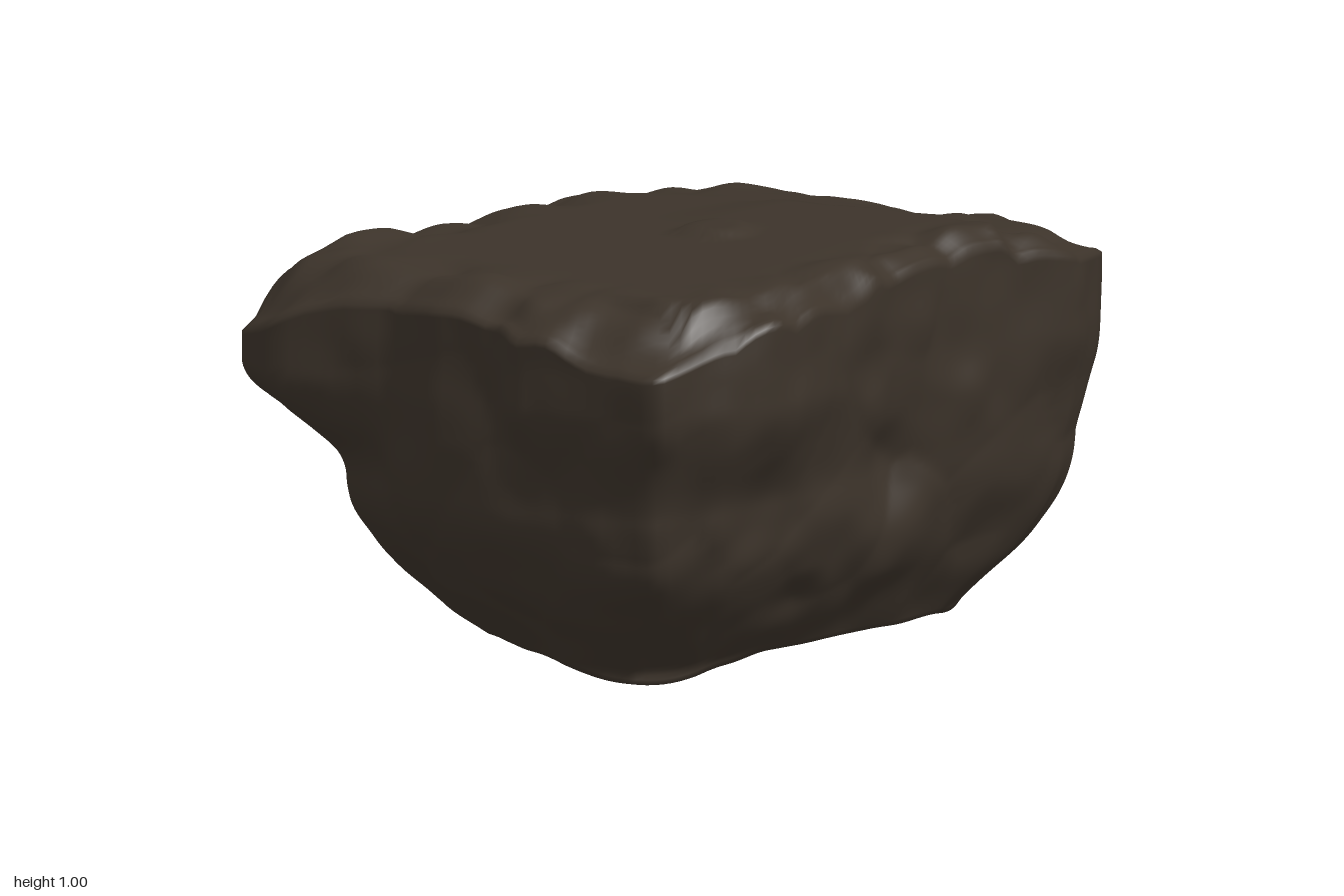
import * as THREE from 'three';

const COLS = 240, BOTTOM = 14, SIDE = 68, TOP = 50;

// Plan outlines as x, z pairs: rim, belly and foot of the boulder
const RIM = [0.995, 0, 0.985, -0.12, 0.93, -0.2, 0.85, -0.36, 0.73, -0.51, 0.55, -0.63, 0.38, -0.69, 0.2, -0.72,
  0, -0.69, -0.2, -0.72, -0.5, -0.65, -0.75, -0.68, -0.95, -0.65, -1, -0.52, -0.96, -0.38, -0.91, -0.22,
  -0.95, -0.05, -0.94, 0.13, -1, 0.23, -0.98, 0.45, -0.95, 0.64, -0.75, 0.7, -0.6, 0.72, -0.25, 0.65,
  0, 0.59, 0.4, 0.57, 0.65, 0.6, 0.88, 0.5, 0.91, 0.27, 0.98, 0.18];
const BELLY = [0.9, 0.05, 0.89, -0.22, 0.77, -0.47, 0.55, -0.62, 0.2, -0.7, -0.2, -0.69, -0.5, -0.61, -0.83, -0.43,
  -0.93, -0.15, -0.94, 0.15, -0.93, 0.42, -0.88, 0.56, -0.7, 0.62, -0.35, 0.61, 0, 0.57, 0.4, 0.56, 0.7, 0.56,
  0.85, 0.47, 0.89, 0.33];
const FOOT = [0.66, 0.1, 0.66, -0.2, 0.5, -0.42, 0.2, -0.52, -0.15, -0.48, -0.42, -0.36, -0.6, -0.1, -0.7, 0.15,
  -0.68, 0.34, -0.52, 0.4, 0, 0.4, 0.4, 0.39, 0.56, 0.32];

// Bulges and dents of the wall: x, y, z, radius, amount
const FEATURES = [
  [-0.55, 0.44, 0.61, 0.2, -0.025], [0, 0.44, 0.57, 0.2, -0.02], [0.45, 0.25, 0.5, 0.18, -0.02],
  [-0.3, 0.18, 0.48, 0.14, -0.025], [-0.55, 0.27, 0.52, 0.2, 0.025], [0.05, 0.28, 0.52, 0.2, 0.02],
  [0.62, 0.7, 0.58, 0.25, 0.015], [-0.15, 0.75, 0.6, 0.15, -0.02], [0.25, 0.72, 0.58, 0.15, -0.02],
  [0.7, 0.2, 0.05, 0.2, 0.02], [0.3, 0.4, -0.66, 0.25, 0.02], [-0.25, 0.4, -0.64, 0.2, 0.015],
];

const { lerp, smoothstep } = THREE.MathUtils;

// Distance from the middle to an outline in direction a
function reach(outline, a) {
  const dx = Math.cos(a), dz = Math.sin(a), n = outline.length;
  let best = 0;
  for (let i = 0; i < n; i += 2) {
    const px = outline[i], pz = outline[i + 1];
    const ex = outline[(i + 2) % n] - px, ez = outline[(i + 3) % n] - pz;
    const det = dx * ez - dz * ex;
    if (Math.abs(det) < 1e-9) continue;
    const r = (px * ez - pz * ex) / det, s = (px * dz - pz * dx) / det;
    if (s >= -1e-6 && s <= 1 + 1e-6 && r > best) best = r;
  }
  return best;
}

// Seeded hash and smooth value noise in -1..1
function hash(x, y, z, k) {
  const s = Math.sin(x * 127.1 + y * 311.7 + z * 74.7 + k * 53.3) * 43758.5453;
  return s - Math.floor(s);
}
function noise(x, y, z) {
  const i = Math.floor(x), j = Math.floor(y), k = Math.floor(z);
  const u = smoothstep(x - i, 0, 1), v = smoothstep(y - j, 0, 1), w = smoothstep(z - k, 0, 1);
  const edge = (b, c) => lerp(hash(i, j + b, k + c, 0), hash(i + 1, j + b, k + c, 0), u);
  return 2 * lerp(lerp(edge(0, 0), edge(1, 0), v), lerp(edge(0, 1), edge(1, 1), v), w) - 1;
}

// Rounded lumps that meet in creases, from the nearest seeded point
function lumps(x, y, z) {
  const i = Math.floor(x), j = Math.floor(y), k = Math.floor(z);
  let d = 9;
  for (let a = i - 1; a <= i + 1; a++)
    for (let b = j - 1; b <= j + 1; b++)
      for (let c = k - 1; c <= k + 1; c++) {
        const ux = a + hash(a, b, c, 1) - x, uy = b + hash(a, b, c, 2) - y, uz = c + hash(a, b, c, 3) - z;
        d = Math.min(d, ux * ux + uy * uy + uz * uz);
      }
  return 0.27 - d;
}

// 1 near a point in plan, fading to 0 between two radii
const near = (x, z, cx, cz, r0, r1) => 1 - smoothstep(Math.hypot(x - cx, z - cz), r0, r1);

// Height of the top: a flat floor with broken ledges and sunken corners
function topHeight(x, z, f) {
  const wob = 0.03 * noise(x * 5, 3, z * 5);
  const rough = smoothstep(f, 0.6, 0.85);
  let y = 0.97;
  // raised slab that ends in a step towards the left end
  const step = smoothstep(x + wob - 0.2 * (z - 0.1) * (0.4 - z), 0.44, 0.47);
  y += 0.014 * smoothstep(x, 0, 0.2) * smoothstep(z, -0.25, -0.05) * (1 - step);
  y -= 0.014 * lerp(smoothstep(x, 0.2, 0.6), step, smoothstep(z, -0.25, -0.05));
  y -= 0.055 * smoothstep(x, 0.5, 0.95);
  // worn back edge
  y -= 0.04 * smoothstep(-z, 0.45, 0.7) * smoothstep(x, -0.5, -0.3);
  // right end and its two corners
  y -= 0.03 * smoothstep(-x, 0.76, 0.95);
  y -= 0.1 * near(x, z, -1, -0.68, 0.08, 0.36) + 0.06 * near(x, z, -1, 0.68, 0.08, 0.36);
  // ledge along the front right edge
  y -= 0.025 * smoothstep(Math.max(-x - 0.78, z - 0.6) + wob, 0, 0.04) * smoothstep(z, 0.3, 0.4);
  // low mound in the middle
  y += 0.02 * near(x + wob, z, 0.02, 0.02, 0.06, 0.11);
  y += rough * (0.05 * lumps(x * 4.5, 7.3, z * 4.5) + 0.012 * noise(x * 10, 1, z * 10));
  return y - 0.035 * smoothstep(f, 0.88, 1);
}

// Underside: flat, rising to the left, with a knob hanging down near the front right corner
function baseHeight(x, z) {
  const flat = 0.06 + 0.03 * smoothstep(x, 0.4, 0.66) * (1 - smoothstep(z, 0.15, 0.35)) - 0.02 * smoothstep(z, 0.2, 0.38);
  return lerp(flat + 0.012 * noise(x * 8, 5, z * 6), 0, near(x, z, -0.57, 0.28, 0.03, 0.26));
}

// Radius of the side wall at height y
function wallRadius(foot, belly, rim, y) {
  const low = Math.sin(Math.min(1, Math.max(0, (y - 0.04) / 0.41)) * Math.PI / 2);
  return lerp(lerp(foot, belly, low), rim, smoothstep(y, 0.45, 0.72));
}

// Displaced wall point in direction d; t runs from the foot to the rim
function wallPoint(d, t) {
  const y0 = baseHeight(d.c * d.foot, d.s * d.foot), y1 = topHeight(d.c * d.rim, d.s * d.rim, 1) - 0.01;
  const y = lerp(y0, y1, t);
  const base = wallRadius(d.foot, d.belly, d.rim, y), x = d.c * base, z = d.s * base;
  const fade = smoothstep(t, 0, 0.2) * (1 - 0.6 * smoothstep(t, 0.7, 0.95));
  let bumps = 0.05 * lumps(x * 2.8 + 4, y * 2.4, z * 2.8) + 0.012 * noise(x * 4, y * 4, z * 4);
  for (const [fx, fy, fz, size, amount] of FEATURES)
    bumps += amount * (1 - smoothstep(Math.hypot(x - fx, 1.3 * (y - fy), z - fz), 0, size));
  return { r: base + fade * bumps + 0.008 * noise(x * 10, y * 10, z * 10), y };
}

// Closed loops of points from the middle of the underside, up the wall, to the middle of the top
function boulderGeometry() {
  const rows = BOTTOM + SIDE + TOP, pos = [], index = [];
  const dirs = Array.from({ length: COLS }, (_, j) => {
    const a = j / COLS * Math.PI * 2;
    const d = { c: Math.cos(a), s: Math.sin(a), foot: reach(FOOT, a), belly: reach(BELLY, a), rim: reach(RIM, a) };
    return { ...d, footR: wallPoint(d, 0).r, rimR: wallPoint(d, 1).r };
  });
  for (let i = 0; i <= rows; i++)
    for (const d of dirs) {
      let r, y;
      if (i < BOTTOM) {
        r = d.footR * i / BOTTOM;
        y = baseHeight(d.c * r, d.s * r);
      } else if (i <= BOTTOM + SIDE) {
        ({ r, y } = wallPoint(d, (i - BOTTOM) / SIDE));
      } else {
        const f = Math.pow((rows - i) / TOP, 0.8);
        r = d.rimR * f;
        y = topHeight(d.c * r, d.s * r, f);
      }
      pos.push(d.c * r, y, d.s * r);
    }
  for (let i = 0; i < rows; i++)
    for (let j = 0; j < COLS; j++) {
      const a = i * COLS + j, b = i * COLS + (j + 1) % COLS;
      index.push(a, a + COLS, b, b, a + COLS, b + COLS);
    }
  const g = new THREE.BufferGeometry();
  g.setAttribute('position', new THREE.Float32BufferAttribute(pos, 3));
  g.setIndex(index);
  g.computeVertexNormals();
  return g;
}

export function createModel() {
  const rock = new THREE.MeshStandardMaterial({ color: 0x3c332a });
  rock.name = 'dark brown rock';
  const boulder = new THREE.Mesh(boulderGeometry(), rock);
  boulder.name = 'boulder';
  const group = new THREE.Group();
  group.name = 'rock';
  group.add(boulder);
  return group;
}
